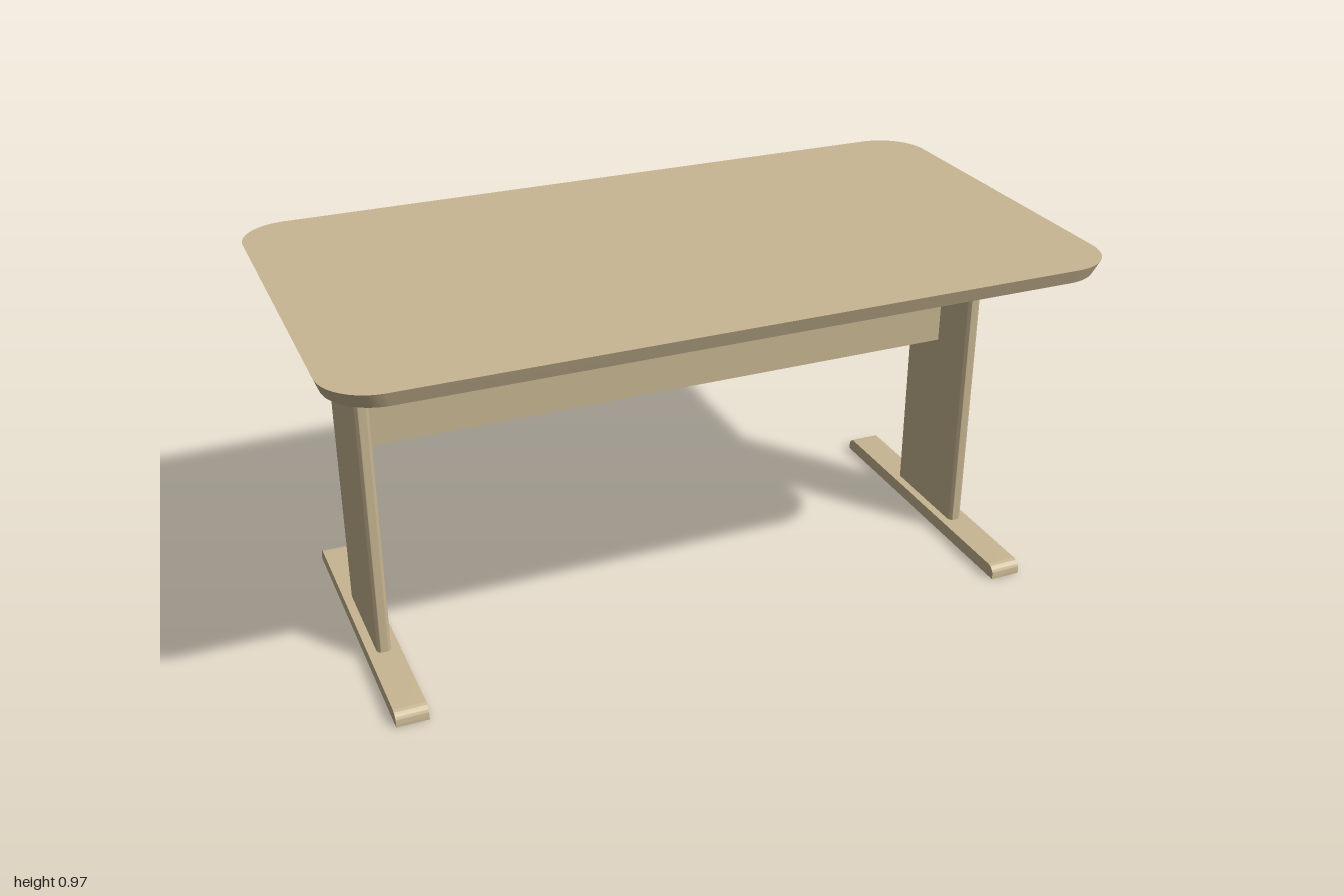
import * as THREE from 'three';
import { toCreasedNormals } from 'three/addons/utils/BufferGeometryUtils.js';

const wood = new THREE.MeshStandardMaterial({ color: 0xc8b692 });
wood.name = 'light wood';

function roundedRect(w, d, r) {
  const x = w / 2, y = d / 2, s = new THREE.Shape();
  s.absarc(x - r, y - r, r, 0, Math.PI / 2);
  s.absarc(-x + r, y - r, r, Math.PI / 2, Math.PI);
  s.absarc(-x + r, -y + r, r, Math.PI, Math.PI * 1.5);
  s.absarc(x - r, -y + r, r, Math.PI * 1.5, Math.PI * 2);
  s.closePath();
  return s;
}

// Upright prism standing on y = 0, optionally narrowed by an inset at its base
function prism(w, d, r, h, inset = 0) {
  const g = new THREE.ExtrudeGeometry(roundedRect(w, d, r), { depth: h, bevelEnabled: false, curveSegments: 12 });
  g.rotateX(-Math.PI / 2);
  const p = g.attributes.position;
  for (let i = 0; i < p.count; i++) {
    if (p.getY(i) < h / 2) {
      p.setX(i, p.getX(i) * (1 - 2 * inset / w));
      p.setZ(i, p.getZ(i) * (1 - 2 * inset / d));
    }
  }
  return toCreasedNormals(g, 0.6);
}

// Floor runner with rounded upper ends
function footGeometry(w, length, h, r) {
  const z = length / 2, s = new THREE.Shape();
  s.moveTo(-z, 0);
  s.lineTo(z, 0);
  s.absarc(z - r, h - r, r, 0, Math.PI / 2);
  s.absarc(-z + r, h - r, r, Math.PI / 2, Math.PI);
  s.closePath();
  const g = new THREE.ExtrudeGeometry(s, { depth: w, bevelEnabled: false, curveSegments: 8 });
  g.translate(0, 0, -w / 2).rotateY(Math.PI / 2);
  return toCreasedNormals(g, 0.6);
}

export function createModel() {
  const table = new THREE.Group();
  table.name = 'table';
  const add = (parent, name, geometry, x, y, z) => {
    const m = new THREE.Mesh(geometry, wood);
    m.name = name;
    m.position.set(x, y, z);
    parent.add(m);
  };

  // Top with edges sloping inward underneath
  add(table, 'tabletop', prism(2, 1.1, 0.13, 0.038, 0.014), 0, 0.93, 0);

  // Mirrored end frames: foot, upright panel, bearer under the top
  const foot = footGeometry(0.084, 0.83, 0.037, 0.025);
  const upright = prism(0.038, 0.3, 0.015, 0.867);
  const bearer = new THREE.BoxGeometry(0.082, 0.026, 0.83);
  for (const side of [1, -1]) {
    const frame = new THREE.Group();
    frame.name = side > 0 ? 'leftEndFrame' : 'rightEndFrame';
    add(frame, 'foot', foot, side * 0.848, 0, 0);
    add(frame, 'upright', upright, side * 0.848, 0.037, 0);
    add(frame, 'bearer', bearer, side * 0.848, 0.917, 0);
    table.add(frame);
  }

  // Rail joining the uprights
  add(table, 'stretcher', new THREE.BoxGeometry(1.66, 0.162, 0.02), 0, 0.639, 0);
  return table;
}
